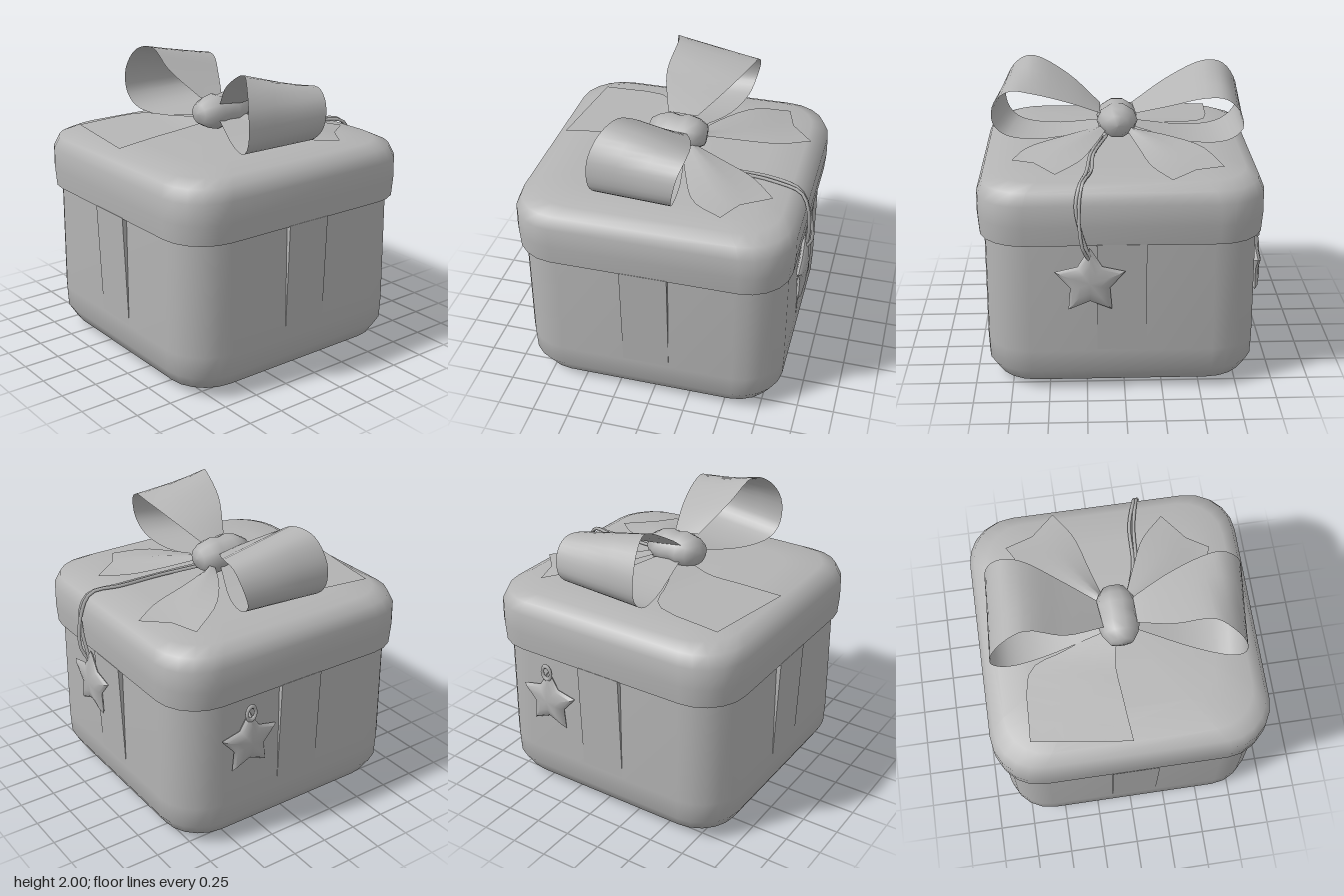
import * as THREE from 'three';
import { toCreasedNormals } from 'three/addons/utils/BufferGeometryUtils.js';

const CX = -0.033, CZ = 0.02; // centre of the box

// Grid of points (rows of equal length) to a surface
function gridSurface(rows, closed) {
  const n = rows[0].length, pos = [], idx = [];
  rows.forEach(r => r.forEach(p => pos.push(p.x, p.y, p.z)));
  for (let i = 0; i < rows.length - 1; i++)
    for (let j = 0; j < (closed ? n : n - 1); j++) {
      const a = i * n + j, b = i * n + (j + 1) % n;
      idx.push(a, a + n, b, b, a + n, b + n);
    }
  const g = new THREE.BufferGeometry();
  g.setAttribute('position', new THREE.Float32BufferAttribute(pos, 3));
  g.setIndex(idx);
  return g;
}

// Rounded square sections, each [half width, height, corner radius]
function roundedLoft(sections) {
  const steps = 5;
  const rows = sections.map(([h, y, r]) => {
    const row = [];
    for (let c = 0; c < 4; c++) {
      const mid = (c + 0.5) * Math.PI / 2;
      for (let s = 0; s <= steps; s++) {
        const a = (c + s / steps) * Math.PI / 2;
        row.push(new THREE.Vector3(
          CX + Math.sign(Math.cos(mid)) * (h - r) + r * Math.cos(a), y,
          CZ + Math.sign(Math.sin(mid)) * (h - r) + r * Math.sin(a)));
      }
    }
    return row;
  });
  return toCreasedNormals(gridSurface(rows, true), 1.0);
}

const curve = pts => new THREE.CatmullRomCurve3(pts.map(p => new THREE.Vector3(...p)));

// Ribbon lying across two or more guide curves
function ribbon(guides, along, across = 3) {
  const curves = guides.map(curve), rows = [];
  for (let i = 0; i <= along; i++) {
    const pts = curves.map(c => c.getPoint(i / along)), row = [];
    for (let k = 0; k < pts.length - 1; k++)
      for (let s = k ? 1 : 0; s <= across; s++) row.push(pts[k].clone().lerp(pts[k + 1], s / across));
    rows.push(row);
  }
  const g = gridSurface(rows, false);
  g.computeVertexNormals();
  return g;
}

// Puffy five pointed star facing z
function starGeometry(outer, inner, depth) {
  const g = new THREE.SphereGeometry(1, 10, 6).rotateX(Math.PI / 2);
  const p = g.attributes.position;
  for (let i = 0; i < p.count; i++) {
    const step = Math.round(Math.atan2(p.getY(i), p.getX(i)) / (Math.PI / 5));
    const r = Math.abs(step) % 2 ? inner : outer;
    p.setXYZ(i, p.getX(i) * r, p.getY(i) * r, p.getZ(i) * depth);
  }
  g.rotateZ(Math.PI / 2);
  return toCreasedNormals(g, 0.8);
}

export function createModel() {
  const model = new THREE.Group();
  model.name = 'giftBox';
  const grey = new THREE.MeshStandardMaterial({ color: 0xb4b4b4, side: THREE.DoubleSide });
  grey.name = 'grey';
  const add = (name, geometry) => {
    const mesh = new THREE.Mesh(geometry, grey);
    mesh.name = name;
    model.add(mesh);
    return mesh;
  };

  // Box and lid
  add('boxBody', roundedLoft([
    [0.002, 0, 0.001], [0.69, 0, 0.2], [0.84, 0.055, 0.27], [0.895, 0.15, 0.3],
    [0.9, 0.3, 0.3], [0.895, 1.1, 0.3]]));
  add('lid', roundedLoft([
    [0.86, 1.08, 0.28], [0.925, 1.07, 0.3], [0.935, 1.2, 0.31], [0.933, 1.34, 0.31],
    [0.9, 1.42, 0.3], [0.82, 1.46, 0.28], [0.6, 1.475, 0.2], [0.002, 1.48, 0.001]]));

  // Ribbon bands down the four sides, melting into the box near the floor
  const profile = new THREE.Shape([[0.85, 0.18], [0.895, 0.18], [0.928, 1.075], [0.85, 1.075]]
    .map(p => new THREE.Vector2(...p)));
  const bandGeometry = new THREE.ExtrudeGeometry(profile, { depth: 0.32, bevelEnabled: false })
    .translate(0, 0, -0.16);
  for (let i = 0; i < 4; i++) {
    const band = add('sideBand', bandGeometry);
    band.position.set(CX, 0, CZ);
    band.rotation.y = i * Math.PI / 2;
  }

  // Bow loops
  add('frontLoop', ribbon([
    [[-0.14, 1.7, 0.14], [-0.25, 1.88, 0.36], [-0.3, 2.0, 0.6], [-0.37, 1.94, 0.72], [-0.42, 1.8, 0.8],
      [-0.42, 1.62, 0.8], [-0.39, 1.53, 0.72], [-0.3, 1.51, 0.5], [-0.14, 1.58, 0.14]],
    [[0.05, 1.68, 0.14], [0.13, 1.78, 0.36], [0.19, 1.86, 0.6], [0.2, 1.88, 0.74], [0.17, 1.8, 0.85],
      [0.14, 1.65, 0.87], [0.12, 1.55, 0.78], [0.1, 1.52, 0.5], [0.04, 1.58, 0.14]]], 32));
  add('backLoop', ribbon([
    [[-0.14, 1.7, -0.08], [-0.22, 1.86, -0.34], [-0.2, 1.98, -0.58], [-0.24, 1.95, -0.72], [-0.27, 1.8, -0.82],
      [-0.27, 1.64, -0.82], [-0.26, 1.54, -0.72], [-0.22, 1.51, -0.5], [-0.13, 1.58, -0.08]],
    [[0.06, 1.68, -0.1], [0.2, 1.77, -0.32], [0.33, 1.86, -0.55], [0.36, 1.86, -0.68], [0.36, 1.78, -0.77],
      [0.33, 1.65, -0.8], [0.3, 1.56, -0.7], [0.22, 1.53, -0.45], [0.05, 1.58, -0.1]]], 32));

  // Knot, gathered in the middle
  const knot = new THREE.LatheGeometry([[0, -0.2], [0.08, -0.19], [0.12, -0.13], [0.14, -0.06],
    [0.125, 0], [0.14, 0.06], [0.12, 0.13], [0.08, 0.19], [0, 0.2]]
    .map(p => new THREE.Vector2(...p)), 10).rotateZ(Math.PI / 2).scale(1, 0.87, 1);
  add('knot', knot).position.set(-0.04, 1.62, 0.025);

  // Loose ribbon ends with notched tips, and the flat end on the other side
  add('frontTail', ribbon([
    [[0.02, 1.58, 0.14], [0.1, 1.54, 0.38], [0.22, 1.5, 0.63], [0.42, 1.48, 0.73]],
    [[0.07, 1.6, 0.12], [0.23, 1.57, 0.3], [0.38, 1.53, 0.46], [0.51, 1.49, 0.58]],
    [[0.1, 1.58, 0.1], [0.33, 1.54, 0.19], [0.53, 1.51, 0.28], [0.7, 1.48, 0.44]]], 10));
  add('backTail', ribbon([
    [[0.08, 1.58, -0.08], [0.2, 1.57, -0.3], [0.38, 1.55, -0.52], [0.61, 1.49, -0.65]],
    [[0.1, 1.6, -0.05], [0.3, 1.57, -0.2], [0.5, 1.53, -0.33], [0.67, 1.49, -0.46]],
    [[0.1, 1.57, -0.04], [0.36, 1.53, -0.11], [0.62, 1.5, -0.18], [0.82, 1.48, -0.3]]], 10));
  add('flatTail', ribbon([
    [[-0.1, 1.56, -0.08], [-0.2, 1.53, -0.35], [-0.3, 1.515, -0.59], [-0.77, 1.49, -0.65]],
    [[-0.12, 1.56, 0.02], [-0.32, 1.52, -0.03], [-0.58, 1.505, -0.015], [-0.86, 1.485, 0.01]]], 10));

  // Cords from the knot over the edge of the lid
  [[[0.08, 1.53, 0.1], [0.35, 1.495, 0.19], [0.65, 1.485, 0.21], [0.85, 1.46, 0.27],
    [0.925, 1.3, 0.29], [0.95, 1.08, 0.27], [0.91, 0.98, 0.23]],
  [[0.08, 1.53, 0.13], [0.35, 1.495, 0.21], [0.65, 1.48, 0.24], [0.86, 1.45, 0.29],
    [0.915, 1.34, 0.31], [0.925, 1.18, 0.28], [0.91, 0.98, 0.22]]]
    .forEach(path => add('cord', new THREE.TubeGeometry(curve(path), 24, 0.012, 5)));

  // Hanging star on the left side and a second one on the back
  const sideStar = add('hangingStar', starGeometry(0.24, 0.135, 0.035));
  sideStar.position.set(0.9, 0.82, 0.225);
  sideStar.rotation.y = Math.PI / 2;
  add('backStar', starGeometry(0.225, 0.125, 0.04)).position.set(0.38, 0.74, -0.9);
  const ring = add('backStarRing', new THREE.TorusGeometry(0.035, 0.012, 6, 12));
  ring.position.set(0.38, 0.96, -0.92);
  ring.scale.y = 1.4;

  return model;
}
